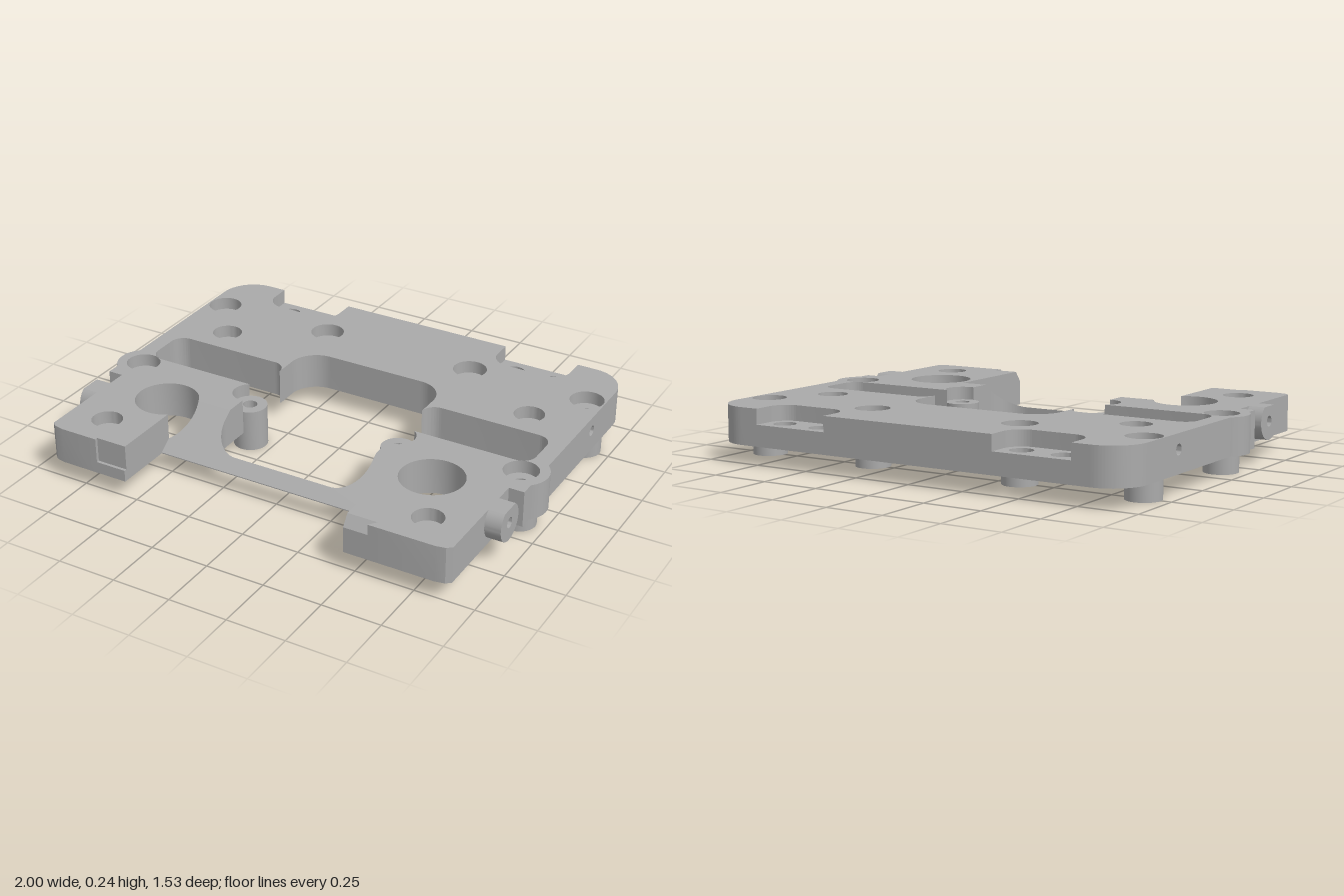
import * as THREE from 'three';
import { toCreasedNormals } from 'three/addons/utils/BufferGeometryUtils.js';

const PI = Math.PI, BOTTOM = 0.08, TOP = 0.235, SEAT = 0.18;
const gray = new THREE.MeshStandardMaterial({ color: 0xaaaaaa });
gray.name = 'machined gray';

function circle(x, y, r, Kind = THREE.Path) {
  return new Kind().absarc(x, y, r, 0, PI * 2, false);
}
function polygon(points) {
  return new THREE.Shape(points.map(([x, y]) => new THREE.Vector2(x, y)));
}
function extrude(shape, depth) {
  return new THREE.ExtrudeGeometry(shape, { depth, bevelEnabled: false, curveSegments: 20 });
}
// Upright slab from a plan in (x, z); slope(z) optionally gives the top height
function slab(shape, y0, y1, slope) {
  const g = extrude(shape, y1 - y0).rotateX(PI / 2).translate(0, y1, 0);
  if (slope) {
    const p = g.attributes.position;
    for (let i = 0; i < p.count; i++) if (p.getY(i) > y1 - 1e-4) p.setY(i, slope(p.getZ(i)));
  }
  return toCreasedNormals(g, 0.5);
}

// Rear screw pocket as a path running from +x to -x
function pocket(s, cx) {
  s.lineTo(cx + 0.17, -0.77);
  s.absarc(cx + 0.09, -0.69, 0.08, 0, PI / 2, false);
  s.absarc(cx - 0.09, -0.69, 0.08, PI / 2, PI, false);
  s.lineTo(cx - 0.17, -0.77);
}

function plateShape() {
  const s = new THREE.Shape();
  // inner side of the right leg, broken by the large bore
  s.moveTo(-0.54, 0.752);
  s.lineTo(-0.54, 0.457);
  s.absarc(-0.617, 0.35, 0.132, 0.947, PI * 2 - 0.39, false);
  s.lineTo(-0.34, 0.30);
  // post seat, side slot, window, side slot, post seat
  s.absarc(-0.35, 0.135, 0.072, 1.43, 4.124, false);
  s.absarc(-0.835, 0.015, 0.06, PI / 2, PI, false);
  s.absarc(-0.835, -0.085, 0.06, PI, PI * 1.5, false);
  s.absarc(-0.40, -0.085, 0.06, PI * 1.5, PI * 2, false);
  s.absarc(-0.22, -0.185, 0.12, PI, PI * 1.5, false);
  s.absarc(0.22, -0.185, 0.12, PI * 1.5, PI * 2, false);
  s.absarc(0.40, -0.085, 0.06, PI, PI * 1.5, false);
  s.absarc(0.835, -0.085, 0.06, PI * 1.5, PI * 2, false);
  s.absarc(0.835, 0.015, 0.06, 0, PI / 2, false);
  s.absarc(0.35, 0.135, 0.072, -0.982, PI - 1.43, false);
  s.lineTo(0.34, 0.30);
  // left leg with its front notch
  s.lineTo(0.457, 0.30);
  s.lineTo(0.457, 0.732);
  s.lineTo(0.585, 0.732);
  s.lineTo(0.56, 0.765);
  s.lineTo(0.84, 0.765);
  s.lineTo(0.88, 0.757);
  s.lineTo(0.90, 0.74);
  s.lineTo(0.90, 0.275);
  s.lineTo(0.965, 0.275);
  // left flank
  s.absarc(0.887, 0.135, 0.113, 0.81, -0.81, true);
  s.lineTo(0.965, -0.34);
  s.lineTo(0.915, -0.34);
  s.lineTo(0.915, -0.42);
  s.lineTo(0.965, -0.42);
  s.absarc(0.815, -0.62, 0.15, 0, -PI / 2, true);
  // back edge
  pocket(s, 0.562);
  pocket(s, -0.565);
  s.absarc(-0.815, -0.62, 0.15, -PI / 2, -PI, true);
  // right flank
  s.lineTo(-0.965, -0.42);
  s.lineTo(-0.915, -0.42);
  s.lineTo(-0.915, -0.34);
  s.lineTo(-0.965, -0.34);
  s.absarc(-0.887, 0.135, 0.113, PI + 0.81, PI - 0.81, true);
  s.lineTo(-0.965, 0.275);
  s.lineTo(-0.90, 0.275);
  s.lineTo(-0.90, 0.74);
  s.lineTo(-0.88, 0.757);
  s.lineTo(-0.84, 0.765);
  s.lineTo(-0.675, 0.765);
  s.lineTo(-0.675, 0.752);
  s.closePath();
  return s;
}

export function createModel() {
  const model = new THREE.Group();
  const add = (name, geometry) => {
    const m = new THREE.Mesh(geometry, gray);
    m.name = name;
    model.add(m);
    return m;
  };

  // Main plate with all its through cuts
  const plate = plateShape();
  plate.holes.push(circle(0.612, 0.35, 0.132));
  for (const sx of [-1, 1]) {
    for (const [x, z] of [[0.887, 0.135], [0.887, -0.505], [0.35, -0.505]])
      plate.holes.push(circle(sx * x, z, 0.072));
    for (const z of [-0.28, 0.61]) plate.holes.push(circle(sx * 0.73, z, 0.064));
  }
  add('mainPlate', slab(plate, BOTTOM, TOP));

  // Sloping front bar, cut by the window and the right bore
  const bar = new THREE.Shape();
  bar.moveTo(-0.54, 0.512);
  bar.lineTo(0.457, 0.512);
  bar.lineTo(0.457, 0.30);
  bar.lineTo(0.34, 0.30);
  bar.absarc(0.22, 0.335, 0.12, 0, PI / 2, false);
  bar.absarc(-0.22, 0.335, 0.12, PI / 2, PI, false);
  bar.lineTo(-0.34, 0.30);
  bar.absarc(-0.617, 0.35, 0.132, -0.39, 0.947, false);
  bar.closePath();
  add('slopedFrontBar', slab(bar, BOTTOM, TOP,
    z => THREE.MathUtils.mapLinear(z, 0.30, 0.512, TOP, BOTTOM + 0.004)));

  for (const sx of [-1, 1]) {
    // Hollow posts: feet below, counterbore seats above
    for (const x of [0.887, 0.35]) for (const z of [0.135, -0.505]) {
      const ring = circle(sx * x, z, 0.072, THREE.Shape);
      ring.holes.push(circle(sx * x, z, 0.03));
      add('post', slab(ring, 0, SEAT));
    }
    // Blind hole floors and the thin pads underneath
    for (const z of [-0.28, 0.61]) {
      add('blindHoleFloor', slab(circle(sx * 0.73, z, 0.064, THREE.Shape), BOTTOM, SEAT));
      add('bottomPad', slab(circle(sx * 0.73, z, 0.086, THREE.Shape), 0.073, BOTTOM));
    }
    // Rear pocket floor with two screw holes
    const cx = sx > 0 ? 0.562 : -0.565;
    const floor = new THREE.Shape();
    floor.moveTo(cx - 0.17, -0.77);
    pocket(floor, cx);
    floor.closePath();
    for (const dx of [-0.09, 0.09]) floor.holes.push(circle(cx + dx, -0.69, 0.047));
    add('rearPocketFloor', slab(floor, BOTTOM, 0.17));

    // Round side boss with a flat top, and the drilled flank block
    const a = Math.asin(0.062 / 0.077);
    const boss = new THREE.Shape();
    boss.absarc(0, 0, 0.077, PI - a, PI * 2 + a, false);
    boss.closePath();
    boss.holes.push(circle(0, 0, 0.022));
    const block = polygon([[-0.04, -0.093], [0.04, -0.093], [0.04, 0.062], [-0.04, 0.062]]);
    block.holes.push(circle(0, 0, 0.022));
    for (const [name, shape, depth, z] of [['sideBoss', boss, 0.07, 0.405], ['flankBlock', block, 0.05, -0.38]]) {
      const g = toCreasedNormals(extrude(shape, depth).translate(0, 0, -depth), 0.5);
      const m = add(name, g);
      m.rotation.y = sx * PI / 2;
      m.position.set(sx * (name === 'sideBoss' ? 0.968 : 0.965), 0.173, z);
    }
  }

  // Front end details of the legs
  add('rightLegLedge', slab(polygon([[-0.675, 0.752], [-0.54, 0.752], [-0.54, 0.765], [-0.675, 0.765]]), BOTTOM, 0.13));
  add('leftLegBevel', slab(polygon([[0.457, 0.732], [0.585, 0.732], [0.56, 0.765], [0.457, 0.765]]), BOTTOM, TOP,
    z => THREE.MathUtils.mapLinear(z, 0.732, 0.765, TOP, 0.19)));

  return model;
}
